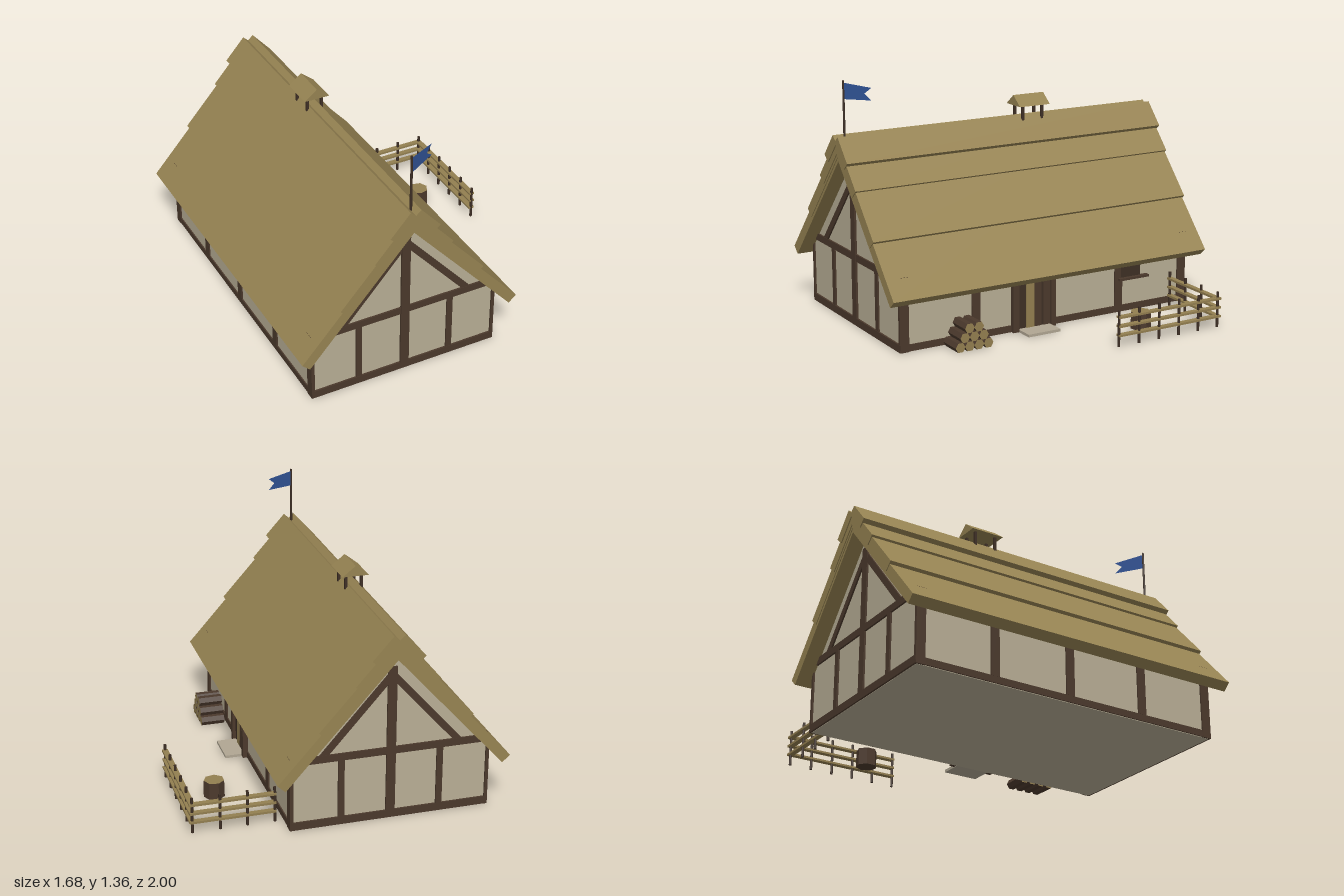
import * as THREE from 'three';

const mat = (name, color) => {
  const m = new THREE.MeshStandardMaterial({ color });
  m.name = name;
  return m;
};

export function createModel() {
  const thatch = mat('thatch', 0x968352);
  const plaster = mat('plaster', 0xb8ae95);
  const timber = mat('timber', 0x4b392c);
  const darkWood = mat('dark wood', 0x3e2f25);
  const paleWood = mat('pale wood', 0x937f50);
  const stone = mat('stone', 0xb0a692);
  const cloth = mat('blue cloth', 0x315497);
  cloth.side = THREE.DoubleSide;

  const model = new THREE.Group();
  const CX = -0.208; // centre line of the house

  const add = (name, geo, material, x = 0, y = 0, z = 0, parent = model) => {
    const m = new THREE.Mesh(geo, material);
    m.name = name;
    m.position.set(x, y, z);
    parent.add(m);
    return m;
  };
  // Box given by its limits on each axis
  const box = (name, material, x0, x1, y0, y1, z0, z1, parent) =>
    add(name, new THREE.BoxGeometry(x1 - x0, y1 - y0, z1 - z0), material,
      (x0 + x1) / 2, (y0 + y1) / 2, (z0 + z1) / 2, parent);
  // Outline in x and y, extruded evenly about z = 0
  const prism = (pts, depth) => {
    const s = new THREE.Shape(pts.map(p => new THREE.Vector2(p[0], p[1])));
    return new THREE.ExtrudeGeometry(s, { depth, bevelEnabled: false }).translate(0, 0, -depth / 2);
  };
  // Cylinder with flat faces
  const faceted = (rTop, rBottom, height, sides) => {
    const g = new THREE.CylinderGeometry(rTop, rBottom, height, sides).toNonIndexed();
    g.computeVertexNormals();
    return g;
  };

  // Walls with gables
  add('walls', prism([[-0.536, 0], [0.536, 0], [0.536, 0.336], [0, 0.93], [-0.536, 0.336]], 1.8), plaster, CX);

  // Timber frame of both gable ends
  for (const s of [1, -1]) {
    const gable = new THREE.Group();
    gable.name = s > 0 ? 'frontFrame' : 'backFrame';
    gable.position.set(CX, 0, s * 0.9);
    model.add(gable);
    box('gableSill', timber, -0.544, 0.544, 0.002, 0.045, -0.01, 0.0105, gable);
    box('tieBeam', timber, -0.495, 0.495, 0.37, 0.41, -0.01, 0.01, gable);
    box('kingPost', timber, -0.025, 0.025, 0.045, 0.86, -0.01, 0.012, gable);
    for (const k of [1, -1]) {
      box('stud', timber, k * 0.269 - 0.017, k * 0.269 + 0.017, 0.045, 0.37, -0.01, 0.009, gable);
      const brace = add('brace', new THREE.BoxGeometry(0.037, 0.56, 0.018), timber, k * 0.192, 0.602, 0, gable);
      brace.rotation.z = k * 0.725;
    }
  }

  // Timber frame of the long sides
  for (const s of [1, -1]) {
    const side = new THREE.Group();
    side.name = s > 0 ? 'leftFrame' : 'rightFrame';
    side.position.x = CX + s * 0.536;
    model.add(side);
    box('sideSill', timber, -0.007, 0.007, 0.003, 0.04, -0.9, 0.9, side);
    for (const k of [1, -1]) {
      box('cornerPost', timber, -0.009, 0.009, 0.001, 0.4085, k * 0.883 - 0.0265, k * 0.883 + 0.0265, side);
      box('sidePost', timber, -0.008, 0.008, 0.04, 0.35, k * 0.455 - 0.025, k * 0.455 + 0.025, side);
    }
    if (s < 0) box('middlePost', timber, -0.008, 0.008, 0.04, 0.35, -0.025, 0.025, side);
  }

  // Overlapping thatch courses: lower outer corner, upper outer x, thickness, length
  const u = [0.669, 0.743];
  const courses = [
    [0.631, 0.312, 0.02, 0.057, 1.97],
    [0.415, 0.58, 0.018, 0.06, 1.978],
    [0.225, 0.81, 0.018, 0.06, 1.988],
    [0.142, 0.942, 0.03, 0.055, 2.0],
  ];
  for (const s of [1, -1]) for (const [x, y, xTop, t, len] of courses) {
    const yTop = y + (x - xTop) * u[1] / u[0];
    const nx = u[1] * t, ny = u[0] * t;
    const pts = [[x, y], [xTop, yTop], [xTop - nx, yTop - ny], [x - nx, y - ny]];
    add('thatchCourse', prism(pts.map(p => [p[0] * s, p[1]]), len), thatch, CX);
  }

  // Smoke vent on the ridge
  add('ventRoof', prism([[-0.074, 1.126], [0.074, 1.126], [0, 1.184]], 0.195), thatch, CX, 0, -0.193);
  for (const s of [1, -1]) for (const z of [-0.13, -0.255]) {
    const x = CX + s * 0.043;
    box('ventPost', darkWood, x - 0.007, x + 0.007, 1.035, 1.128, z - 0.007, z + 0.007);
  }

  // Flag and pole
  add('flagPole', new THREE.CylinderGeometry(0.006, 0.007, 0.33, 6), darkWood, CX, 1.195, 0.945);
  const flagShape = new THREE.Shape([[0, 1.26], [0.182, 1.27], [0.137, 1.303], [0.182, 1.337], [0, 1.348]]
    .map(p => new THREE.Vector2(p[0], p[1])));
  add('flag', new THREE.ShapeGeometry(flagShape), cloth, CX, 0, 0.945).rotation.y = 0.49;

  // Doorway on the left side
  const wx = CX + 0.536;
  box('doorPost', timber, wx, wx + 0.03, 0.003, 0.33, 0.203, 0.238);
  box('doorPost', timber, wx, wx + 0.03, 0.003, 0.33, -0.03, 0);
  box('doorLintel', timber, wx, wx + 0.028, 0.295, 0.335, -0.03, 0.238);
  box('doorPanel', darkWood, wx, wx + 0.012, 0.01, 0.3, 0, 0.203);
  box('paleDoorPlank', paleWood, wx, wx + 0.018, 0.015, 0.295, 0.1, 0.15);
  for (const z of [0.075, 0.022]) box('doorPlank', timber, wx, wx + 0.017, 0.015, 0.295, z - 0.021, z + 0.021);
  box('doorstep', stone, wx, 0.452, 0, 0.015, 0, 0.2);

  // Window and sill
  box('window', darkWood, wx, wx + 0.008, 0.2, 0.29, -0.6, -0.47);
  box('windowSill', timber, wx, wx + 0.03, 0.187, 0.2, -0.645, -0.45);

  // Stacked firewood, dark bark with pale ends
  const logSides = 6;
  const logGeo = faceted(0.029, 0.029, 0.135, logSides).rotateZ(Math.PI / 2);
  logGeo.clearGroups();
  logGeo.addGroup(0, logSides * 6, 0);
  logGeo.addGroup(logSides * 6, logSides * 6, 1);
  for (let row = 0; row < 3; row++) for (let i = 0; i < 4 - row; i++)
    add('log', logGeo, [timber, paleWood], 0.416, 0.027 + row * 0.049, 0.633 - row * 0.028 - i * 0.056);

  // Chopping block
  add('choppingBlock', faceted(0.056, 0.058, 0.095, 7), [timber, paleWood, timber], 0.617, 0.0475, -0.41)
    .rotation.y = Math.PI / 2;

  // Paddock fence
  const postGeo = new THREE.CylinderGeometry(0.008, 0.008, 0.2, 6);
  for (const x of [0.38, 0.527, 0.673]) add('fencePost', postGeo, darkWood, x, 0.1, -0.775);
  for (let i = 0; i < 6; i++) add('fencePost', postGeo, darkWood, 0.821, 0.1, -0.775 + i * 0.129);
  for (const y of [0.062, 0.112, 0.162]) {
    box('backRail', paleWood, 0.375, 0.835, y - 0.006, y + 0.006, -0.79, -0.76);
    box('sideRail', paleWood, 0.805, 0.837, y - 0.0055, y + 0.0055, -0.785, -0.125);
  }
  return model;
}
